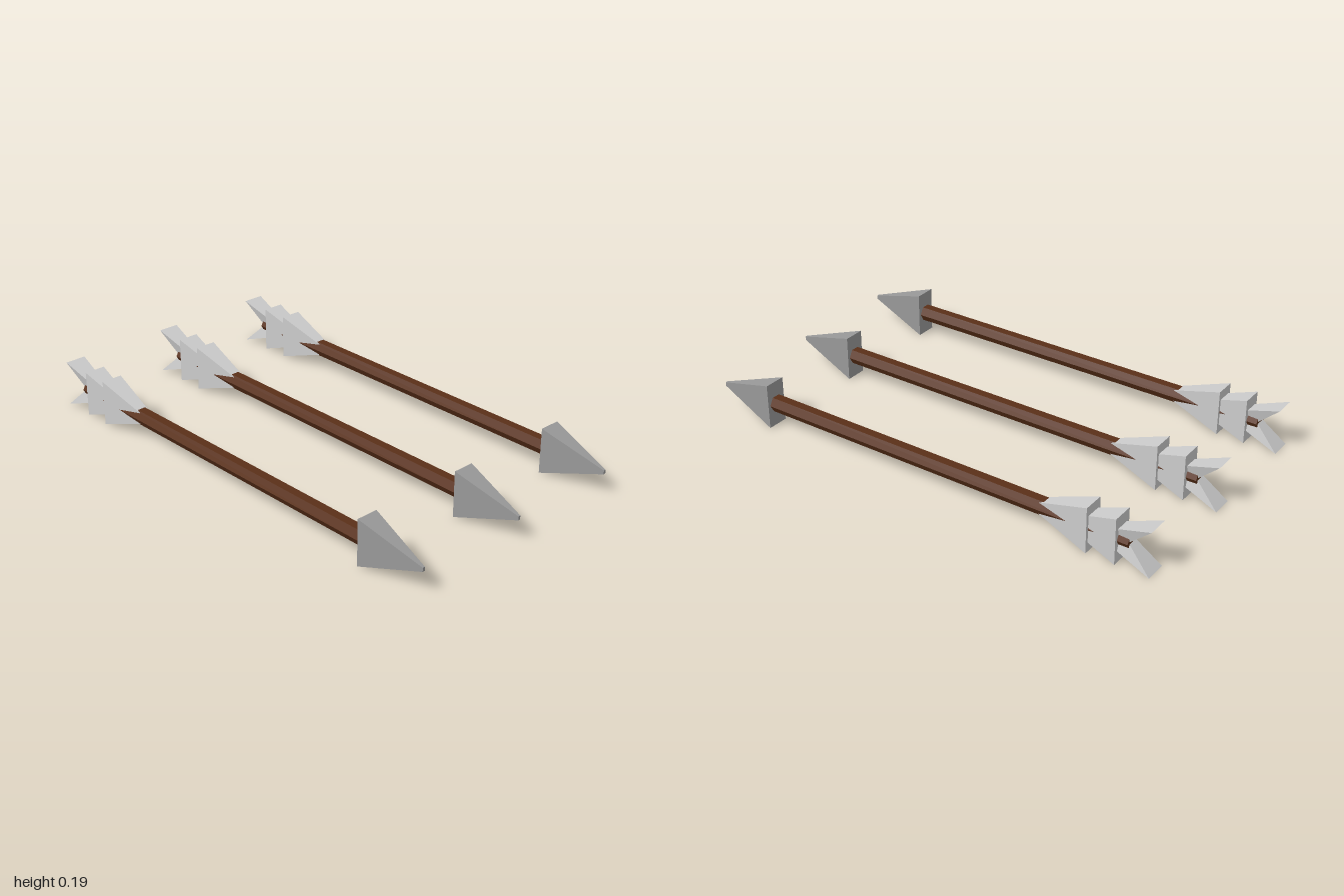
import * as THREE from 'three';
import { ConvexGeometry } from 'three/addons/geometries/ConvexGeometry.js';

const H = 0.095; // half height of heads and feathers
const W = 0.045; // half width of heads and feathers
const L = 0.27;  // length of heads and feathers

const wood = new THREE.MeshStandardMaterial({ color: 0x5a3018, flatShading: true });
const iron = new THREE.MeshStandardMaterial({ color: 0x999999, flatShading: true });
const feather = new THREE.MeshStandardMaterial({ color: 0xcccccc, flatShading: true });

function part(name, geometry, material) {
  const mesh = new THREE.Mesh(geometry, material);
  mesh.name = name;
  return mesh;
}

// Four-sided block along x: full size at the back, shrinking to (h, w) in front
function taper(backX, h, w) {
  const points = [];
  for (const sy of [-1, 1]) {
    for (const sz of [-1, 1]) {
      points.push(new THREE.Vector3(backX, sy * H, sz * W));
      points.push(new THREE.Vector3(backX + L, sy * h, sz * w));
    }
  }
  return new ConvexGeometry(points);
}

// One half of the notched tail feather: sharp back edge, root inside the shaft
function prong(sy) {
  const points = [];
  for (const sz of [-1, 1]) {
    points.push(new THREE.Vector3(-1, sy * H, sz * W));
    points.push(new THREE.Vector3(-0.9, 0, sz * 0.02));
    points.push(new THREE.Vector3(-1 + L, 0, sz * 0.015));
  }
  return new ConvexGeometry(points);
}

function createArrow() {
  const arrow = new THREE.Group();
  arrow.name = 'arrow';

  // Hexagonal shaft with flat top and bottom
  const shaftGeometry = new THREE.CylinderGeometry(0.035, 0.035, 1.64, 6);
  shaftGeometry.rotateZ(-Math.PI / 2);
  const shaft = part('shaft', shaftGeometry, wood);
  shaft.position.x = -0.085;
  arrow.add(shaft);

  arrow.add(part('arrowHead', taper(0.73, 0.008, 0.005), iron));

  // Two whole feathers, then the split tail
  arrow.add(part('frontFeather', taper(-0.745, 0.005, 0.015), feather));
  arrow.add(part('middleFeather', taper(-0.862, 0.005, 0.015), feather));
  arrow.add(part('upperTailFeather', prong(1), feather));
  arrow.add(part('lowerTailFeather', prong(-1), feather));
  return arrow;
}

export function createModel() {
  const model = new THREE.Group();
  model.name = 'arrows';
  for (const z of [-0.487, 0, 0.487]) {
    const arrow = createArrow();
    arrow.position.set(0, H, z);
    model.add(arrow);
  }
  return model;
}
